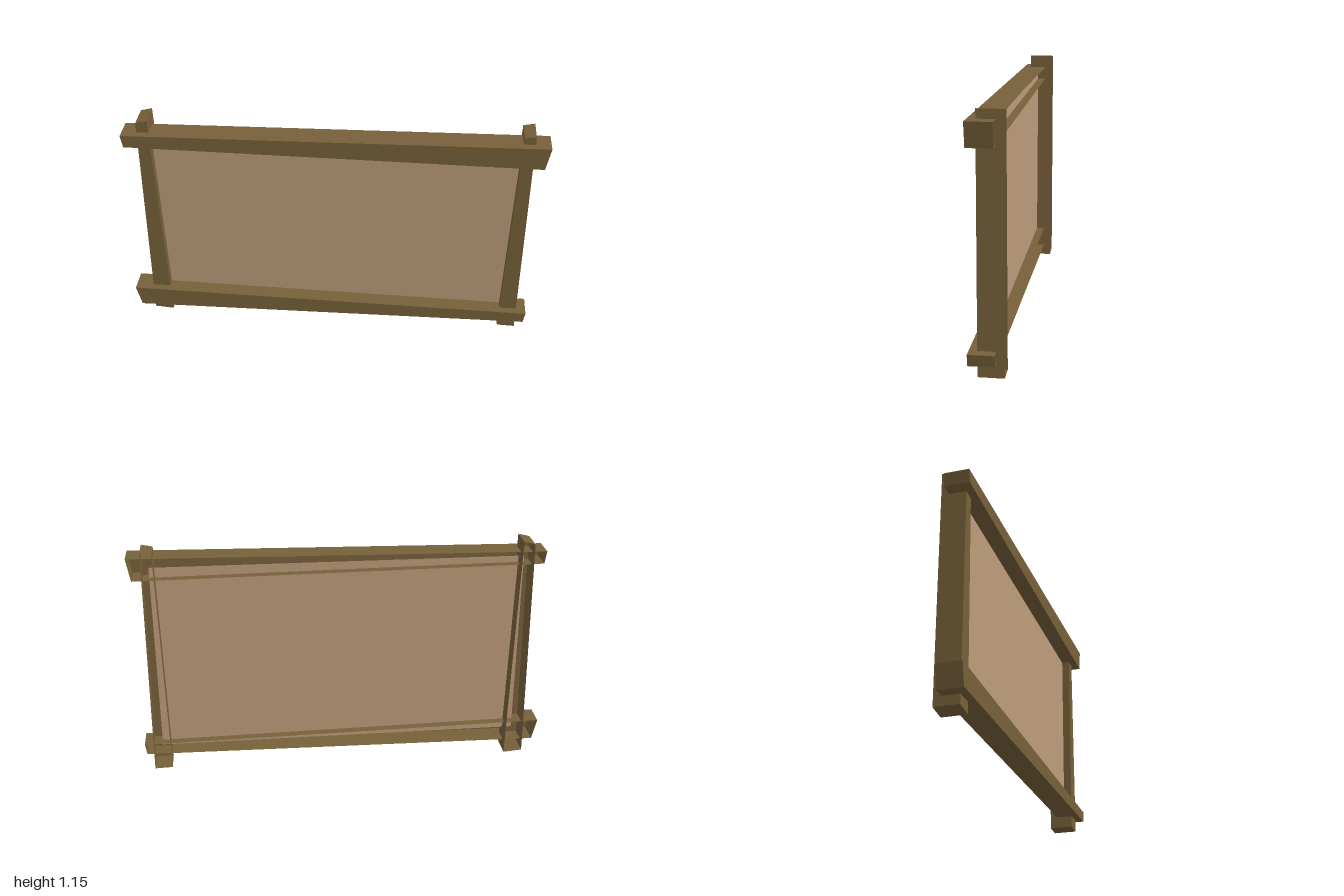
import * as THREE from 'three';

const wood = new THREE.MeshStandardMaterial({ color: 0x77603a, side: THREE.DoubleSide });
wood.name = 'darkWood';
const board = new THREE.MeshStandardMaterial({ color: 0xbc9c7b, side: THREE.DoubleSide });
board.name = 'paleBoard';

// Flat-faced beam with an open back: corners run counter-clockwise seen from the front
function beam(name, corners, zBack, zFront) {
  const pos = [];
  const quad = (a, b, c, d) => [a, b, c, a, c, d].forEach((p) => pos.push(...p));
  const front = corners.map(([x, y]) => [x, y, zFront]);
  const back = corners.map(([x, y]) => [x, y, zBack]);
  quad(...front);
  for (let i = 0; i < 4; i++) {
    const j = (i + 1) % 4;
    quad(front[i], back[i], back[j], front[j]);
  }
  const geo = new THREE.BufferGeometry();
  geo.setAttribute('position', new THREE.Float32BufferAttribute(pos, 3));
  geo.computeVertexNormals();
  const mesh = new THREE.Mesh(geo, wood);
  mesh.name = name;
  return mesh;
}

export function createModel() {
  const group = new THREE.Group();
  group.name = 'signBoard';

  // Crooked rails, set forward
  group.add(
    beam('topRail', [[-0.965, 1.012], [0.98, 1.0], [1.0, 1.11], [-0.975, 1.073]], -0.04, 0.076),
    beam('bottomRail', [[-0.975, 0.052], [0.977, 0.077], [0.986, 0.131], [-1.0, 0.156]], -0.04, 0.076),
  );

  // Tapered posts, set back
  group.add(
    beam('rightPost', [[-0.917, 0.008], [-0.825, 0.0], [-0.85, 1.139], [-0.904, 1.125]], -0.076, 0.04),
    beam('leftPost', [[0.855, 0.017], [0.941, 0.014], [0.929, 1.15], [0.876, 1.139]], -0.076, 0.04),
  );

  // Board, its edges tucked inside the hollow beams
  const outline = new THREE.Shape(
    [[-0.875, 0.105], [0.9, 0.105], [0.9, 1.05], [-0.875, 1.042]].map(([x, y]) => new THREE.Vector2(x, y)),
  );
  const panel = new THREE.Mesh(new THREE.ShapeGeometry(outline), board);
  panel.name = 'panel';
  group.add(panel);

  return group;
}
